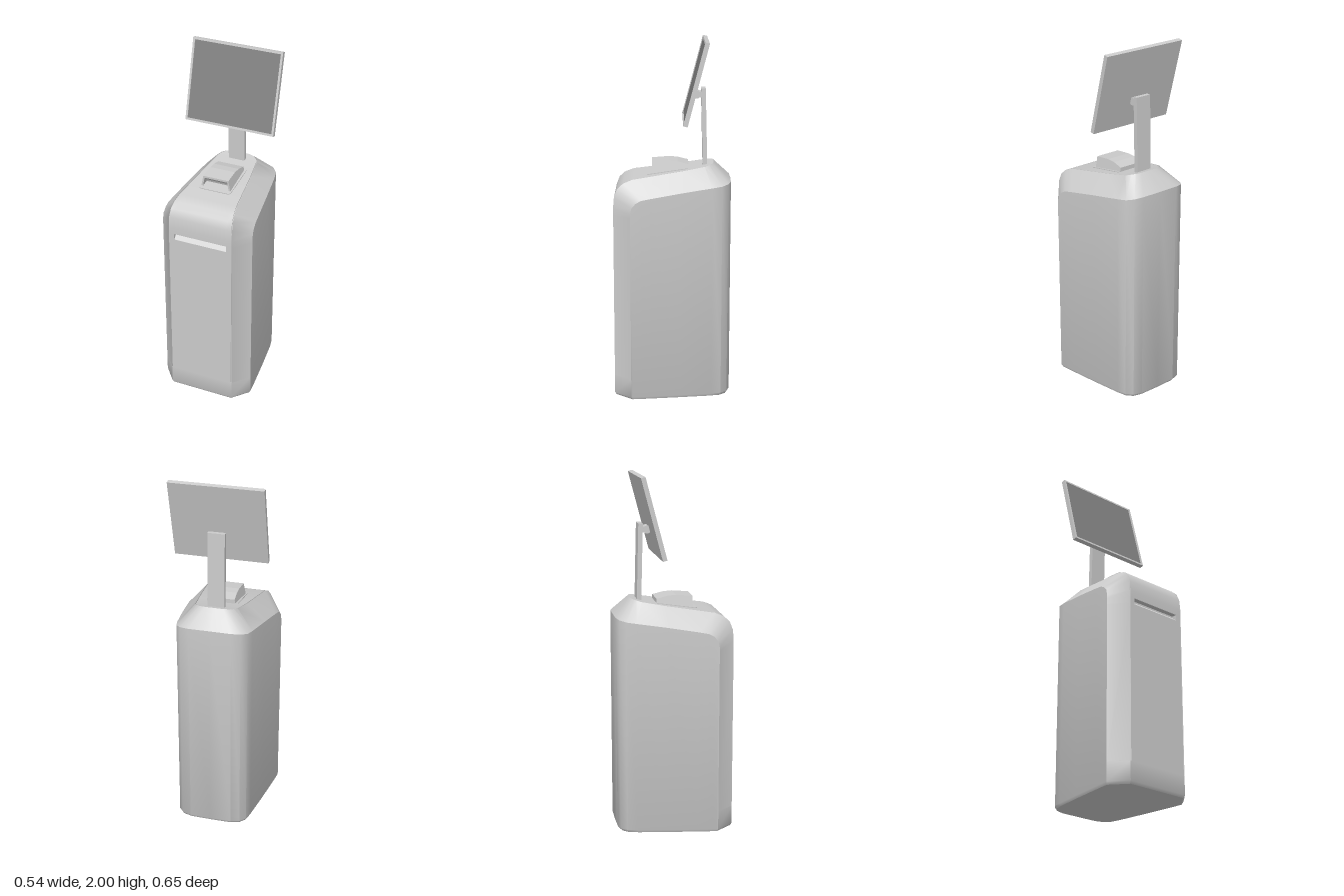
import * as THREE from 'three';
import { toCreasedNormals } from 'three/addons/utils/BufferGeometryUtils.js';

const grey = new THREE.MeshStandardMaterial({ color: 0xcccccc, side: THREE.DoubleSide });
const dark = new THREE.MeshStandardMaterial({ color: 0x808080 });
const inside = new THREE.MeshStandardMaterial({ color: 0xcccccc, side: THREE.BackSide });

function part(parent, name, geometry, material = grey) {
  const mesh = new THREE.Mesh(geometry, material);
  mesh.name = name;
  parent.add(mesh);
  return mesh;
}

// Skin over rows of points; skip(i, j) leaves a cell open
function loft(rows, skip) {
  const n = rows[0].length, index = [];
  for (let i = 0; i < rows.length - 1; i++) {
    for (let j = 0; j < n - 1; j++) {
      if (skip(i, j)) continue;
      const a = i * n + j, b = a + n;
      index.push(a, b, a + 1, b, b + 1, a + 1);
    }
  }
  const g = new THREE.BufferGeometry();
  g.setAttribute('position', new THREE.Float32BufferAttribute(rows.flat(2), 3));
  g.setIndex(index);
  return toCreasedNormals(g, 0.65);
}

// Stations from the front foot, up and over to the back:
// strip edge x, y, z, then outer shoulder x, y, z
const FRONT = y => [0.19, y, 0.325, 0.27, y, 0.23];
const STATIONS = [
  FRONT(0), FRONT(0.015), FRONT(0.12), FRONT(0.121), FRONT(1.015), FRONT(1.05),
  [0.19, 1.09, 0.325, 0.27, 1.07, 0.23],
  [0.189, 1.15, 0.32, 0.269, 1.105, 0.222],
  [0.185, 1.195, 0.303, 0.267, 1.13, 0.2],
  [0.18, 1.225, 0.27, 0.264, 1.146, 0.17],
  [0.172, 1.245, 0.22, 0.258, 1.155, 0.12],
  [0.14, 1.285, -0.05, 0.237, 1.182, -0.05],
  [0.12, 1.307, -0.18, 0.213, 1.205, -0.22],
  [0.105, 1.314, -0.205, 0.2, 1.212, -0.275],
  [0.085, 1.318, -0.222, 0.17, 1.22, -0.31],
  [0.05, 1.32, -0.231, 0.12, 1.224, -0.325],
  [0, 1.321, -0.233, 0, 1.225, -0.327],
];

function bodyGeometry() {
  const inset = 0.97;
  const rows = STATIONS.map((s, i) => {
    const k = i === 0 ? inset : 1;
    const E = [s[0] * k, s[1], s[2] * k], O = [s[3] * k, s[4], s[5] * k];
    const foot = [s[3] * inset, 0, s[5] * inset];
    const wall = i === 0 ? foot : [s[3], 0.015, s[5]];
    // seam beside the centre strip
    const p = STATIONS[Math.max(i - 1, 0)], q = STATIONS[Math.min(i + 1, 16)];
    const ty = q[1] - p[1], tz = q[2] - p[2], len = Math.hypot(ty, tz);
    const d = i > 2 && i < 14 ? 0.005 : 0;
    const at = (dx, depth) => [Math.max(0, E[0] - dx),
      E[1] + tz / len * depth, E[2] - ty / len * depth];
    const half = [[0, 0, foot[2]], foot, wall, O, E,
      at(0.0005, d), at(0.004, d), at(0.0045, 0), [E[0] * 0.82, E[1], E[2]]];
    return [...half, ...half.map(v => [-v[0], v[1], v[2]]).reverse()];
  });
  // leading row closes the front of the floor
  const first = rows[0], n = first.length, e = first[4], m = first[n - 5];
  rows.unshift(first.map((v, j) => {
    if (j === 0 || j === n - 1) return [0, 0, e[2]];
    return j < 4 ? e : j > n - 5 ? m : v;
  }));
  return loft(rows, (i, j) => i === 5 && j === 8);
}

// Side profile of [z, y] points, extruded from x0 to x1, narrowing upward
function tapered(profile, x0, x1) {
  const shape = new THREE.Shape(profile.map(p => new THREE.Vector2(...p)));
  const g = new THREE.ExtrudeGeometry(shape, { depth: x1 - x0, bevelEnabled: false });
  g.rotateY(-Math.PI / 2).translate(x1, 0, 0);
  const pos = g.attributes.position;
  for (let i = 0; i < pos.count; i++) {
    pos.setX(i, pos.getX(i) * (1 - 2.2 * (pos.getY(i) - 1.25)));
  }
  g.computeVertexNormals();
  return g;
}

function rectangle(w, h, Type = THREE.Shape) {
  return new Type([[-w, -h], [w, -h], [w, h], [-w, h]].map(p => new THREE.Vector2(...p)));
}

export function createModel() {
  const model = new THREE.Group();
  model.name = 'kiosk';

  // Cabinet with an open slot and its sloping recess
  part(model, 'cabinet', bodyGeometry());
  const slot = new THREE.BoxGeometry(0.3116, 0.035, 0.03);
  const sp = slot.attributes.position;
  for (let i = 0; i < sp.count; i++) {
    if (sp.getZ(i) < 0 && sp.getY(i) < 0) sp.setY(i, 0.008);
  }
  slot.computeVertexNormals();
  part(model, 'slotRecess', slot, inside).position.set(0, 1.0325, 0.31);

  // Scanner on the sloping top: base plate, hood and cheeks
  const scanner = new THREE.Group();
  scanner.name = 'scanner';
  model.add(scanner);
  const w = 0.095, h = 0.114, r = 0.02;
  const plate = new THREE.Shape();
  plate.moveTo(-w, h);
  plate.lineTo(-w, -h + r);
  plate.quadraticCurveTo(-w, -h, -w + r, -h);
  plate.lineTo(w - r, -h);
  plate.quadraticCurveTo(w, -h, w, -h + r);
  plate.lineTo(w, h);
  const base = part(scanner, 'scannerBase',
    new THREE.ExtrudeGeometry(plate, { depth: 0.006, bevelEnabled: false }));
  base.rotation.x = -Math.PI / 2 + 0.147;
  base.position.set(0, 1.272, 0.024);

  const top = [[0.02, 1.334], [-0.03, 1.33], [-0.09, 1.315], [-0.09, 1.26]];
  part(scanner, 'scannerHood',
    tapered([[0.06, 1.25], [0.075, 1.285], [0.113, 1.315], [0.113, 1.326], ...top], -0.079, 0.079));
  const cheek = [[0.113, 1.25], [0.113, 1.326], ...top];
  part(scanner, 'leftCheek', tapered(cheek, 0.079, 0.09));
  part(scanner, 'rightCheek', tapered(cheek, -0.09, -0.079));

  // Slightly leaning post and the screen hinge
  const post = part(model, 'post', new THREE.BoxGeometry(0.096, 0.44, 0.025));
  post.position.set(0, 1.51, -0.178);
  post.rotation.x = 0.025;
  part(model, 'hingeArm', new THREE.BoxGeometry(0.05, 0.035, 0.06)).position.set(0, 1.695, -0.14);
  const hinge = part(model, 'hingeBarrel', new THREE.CylinderGeometry(0.022, 0.022, 0.07, 20));
  hinge.rotation.z = Math.PI / 2;
  hinge.position.set(0, 1.695, -0.135);

  // Monitor leaning back
  const monitor = new THREE.Group();
  monitor.name = 'monitor';
  monitor.position.set(0, 1.774, -0.129);
  monitor.rotation.x = -0.257;
  model.add(monitor);
  part(monitor, 'monitorBack', new THREE.BoxGeometry(0.524, 0.46, 0.019)).position.z = -0.003;
  const frame = rectangle(0.262, 0.23);
  frame.holes.push(rectangle(0.25, 0.218, THREE.Path));
  part(monitor, 'bezel',
    new THREE.ExtrudeGeometry(frame, { depth: 0.006, bevelEnabled: false })).position.z = 0.0065;
  part(monitor, 'screen', new THREE.PlaneGeometry(0.5, 0.436), dark).position.z = 0.008;

  return model;
}
